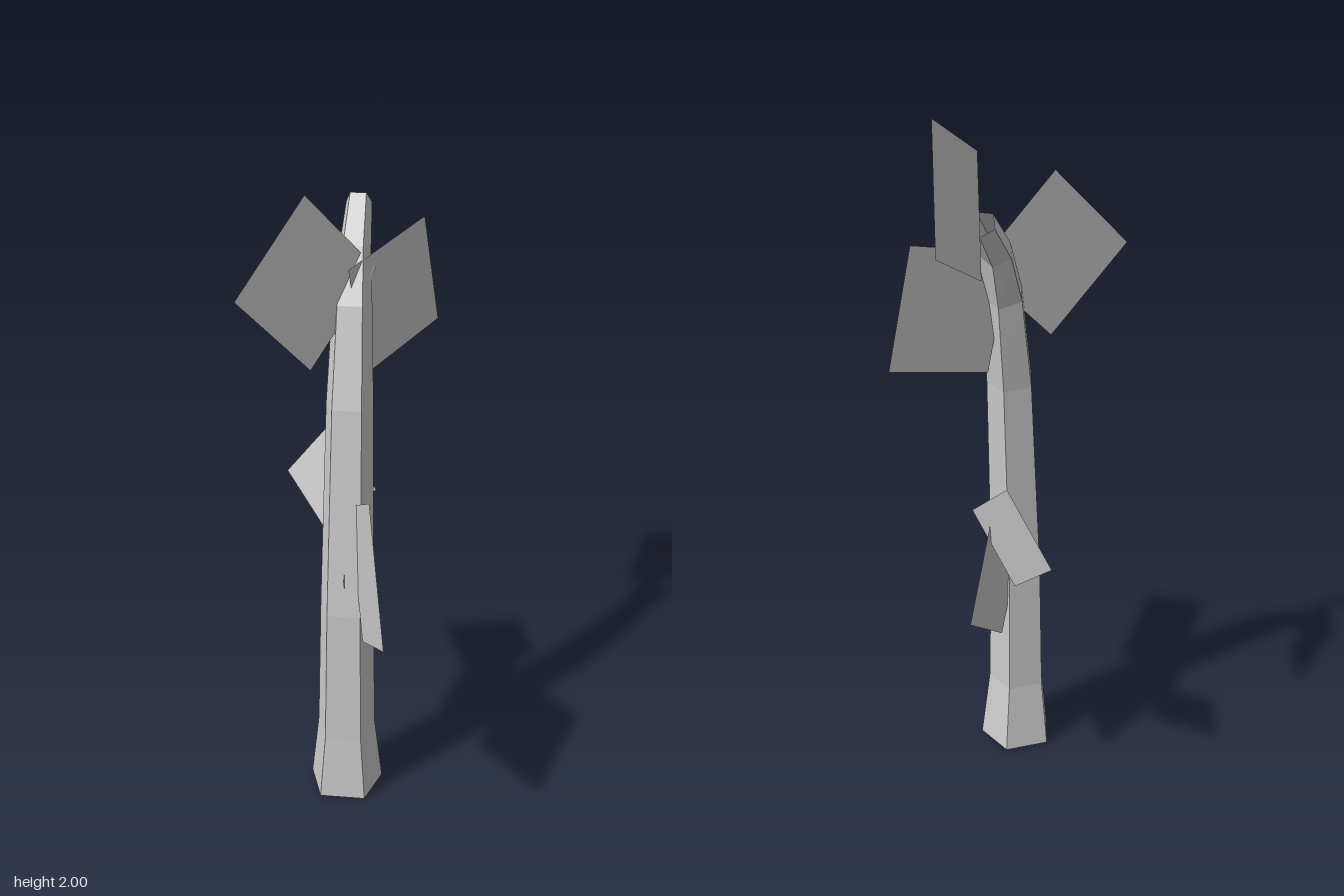
import * as THREE from 'three';

const SIDES = 5;
// Trunk rings: height, depth, radius, backward tilt
const RINGS = [
  [0, 0.11, 0.11, 0], [0.2, 0.115, 0.087, 0], [0.6, 0.11, 0.079, 0.03],
  [1.19, 0.05, 0.068, 0.16], [1.453, -0.006, 0.057, 0.38],
  [1.588, -0.068, 0.046, 0.66], [1.697, -0.181, 0.037, 0.9],
];
const TRUNK_X = 0.025;

// Three neighbouring corners of each leaf; the fourth completes the parallelogram
const LEAVES = {
  tipLeaf: [[0.015, 1.71, -0.54], [0.075, 2.0, -0.39], [0.065, 1.86, -0.1]],
  upperRightLeaf: [[-0.085, 1.78, 0.085], [-0.24, 1.55, 0.26], [-0.07, 1.313, 0.11]],
  upperLeftLeaf: [[0.2, 1.64, -0.235], [0.24, 1.32, -0.305], [0.06, 1.245, -0.045]],
  lowerFrontLeaf: [[0.11, 1.045, 0.335], [0.17, 0.735, 0.545], [0.085, 0.565, 0.235]],
  lowerBackLeaf: [[0.018, 0.91, -0.11], [0.027, 0.61, -0.305], [0.035, 0.415, -0.01]],
  lowerRightLeaf: [[-0.06, 1.005, -0.25], [-0.2, 0.815, -0.3], [-0.055, 0.67, -0.165]],
};

function meshFromQuads(name, quads, material) {
  const points = quads.flatMap(([a, b, c, d]) => [a, b, c, a, c, d]);
  const geometry = new THREE.BufferGeometry().setFromPoints(points);
  geometry.computeVertexNormals();
  const mesh = new THREE.Mesh(geometry, material);
  mesh.name = name;
  return mesh;
}

// Corner of a five-sided ring, with one corner pointing backward
function ringPoint([y, z, r, tilt], i) {
  const a = Math.PI + (i * 2 * Math.PI) / SIDES;
  const f = r * Math.cos(a);
  return new THREE.Vector3(TRUNK_X + r * Math.sin(a), y + f * Math.sin(tilt), z + f * Math.cos(tilt));
}

export function createModel() {
  const group = new THREE.Group();
  group.name = 'plant';
  const grey = new THREE.MeshStandardMaterial({ color: 0xcccccc });
  grey.name = 'light grey';
  grey.flatShading = true;
  grey.side = THREE.DoubleSide;

  // Bent, tapering trunk, open at both ends
  const walls = [];
  for (let k = 0; k < RINGS.length - 1; k++) {
    for (let i = 0; i < SIDES; i++) {
      walls.push([
        ringPoint(RINGS[k], i), ringPoint(RINGS[k], i + 1),
        ringPoint(RINGS[k + 1], i + 1), ringPoint(RINGS[k + 1], i),
      ]);
    }
  }
  group.add(meshFromQuads('trunk', walls, grey));

  // Flat square leaves
  for (const [name, corners] of Object.entries(LEAVES)) {
    const [a, b, c] = corners.map((p) => new THREE.Vector3(...p));
    const d = a.clone().add(c).sub(b);
    group.add(meshFromQuads(name, [[a, b, c, d]], grey));
  }
  return group;
}
